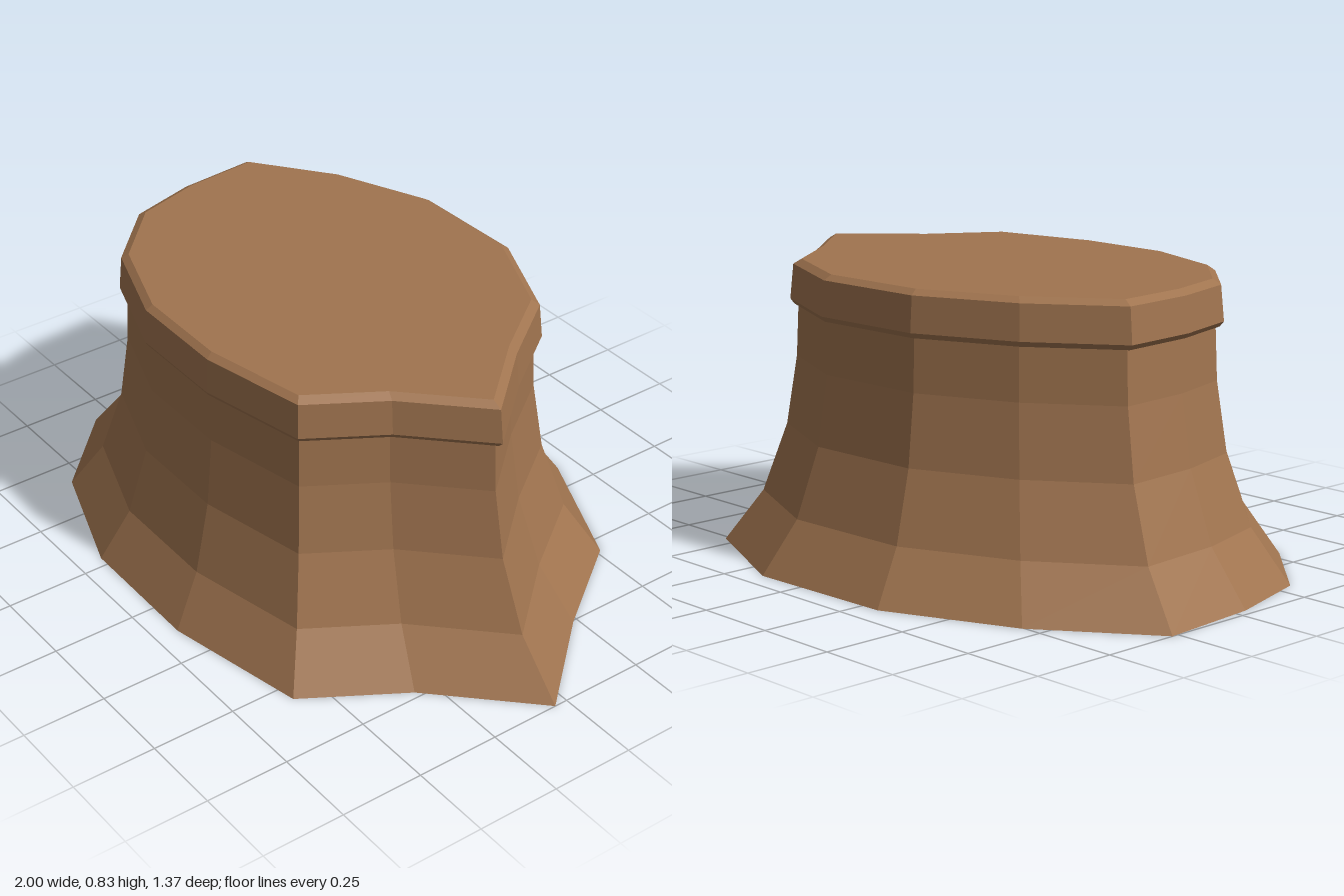
import * as THREE from 'three';

// Irregular ground outline as [x, z], starting at the pointed +x tip and turning towards +z
const outline = [
  [1, 0.04], [0.73, 0.31], [0.556, 0.59], [0.125, 0.68], [-0.285, 0.675],
  [-0.66, 0.545], [-0.9, 0.31], [-0.975, 0.04], [-1, -0.27], [-0.69, -0.505],
  [-0.31, -0.67], [0.16, -0.685], [0.55, -0.515], [0.755, -0.235],
];
const centre = [-0.07, 0.04];

// Stacks scaled copies of the outline; each ring is [scale, y], and scale 0 closes a cap
function stackRings(rings) {
  const positions = [];
  const corner = ([s, y], i) => {
    const [x, z] = outline[i % outline.length];
    return [centre[0] + s * (x - centre[0]), y, centre[1] + s * (z - centre[1])];
  };
  for (let r = 0; r < rings.length - 1; r++) {
    const low = rings[r], high = rings[r + 1];
    for (let i = 0; i < outline.length; i++) {
      const a = corner(low, i), b = corner(low, i + 1);
      const c = corner(high, i), d = corner(high, i + 1);
      if (low[0] > 0) positions.push(...a, ...c, ...b);
      if (high[0] > 0) positions.push(...b, ...c, ...d);
    }
  }
  const geometry = new THREE.BufferGeometry();
  geometry.setAttribute('position', new THREE.Float32BufferAttribute(positions, 3));
  geometry.computeVertexNormals();
  return geometry;
}

export function createModel() {
  const group = new THREE.Group();
  group.name = 'flaredStump';
  const brown = new THREE.MeshStandardMaterial({ color: 0xa0744f });
  brown.name = 'earthBrown';

  const addPart = (name, rings) => {
    const mesh = new THREE.Mesh(stackRings(rings), brown);
    mesh.name = name;
    group.add(mesh);
  };

  // Flared body with a closed underside
  addPart('body', [[0, 0], [1, 0], [0.8625, 0.15], [0.775, 0.35], [0.737, 0.55], [0.729, 0.7]]);
  // Overhanging rim with a bevelled lip and flat top
  addPart('rim', [[0.729, 0.7], [0.743, 0.7], [0.757, 0.715], [0.745, 0.815], [0.716, 0.83], [0, 0.83]]);
  return group;
}
